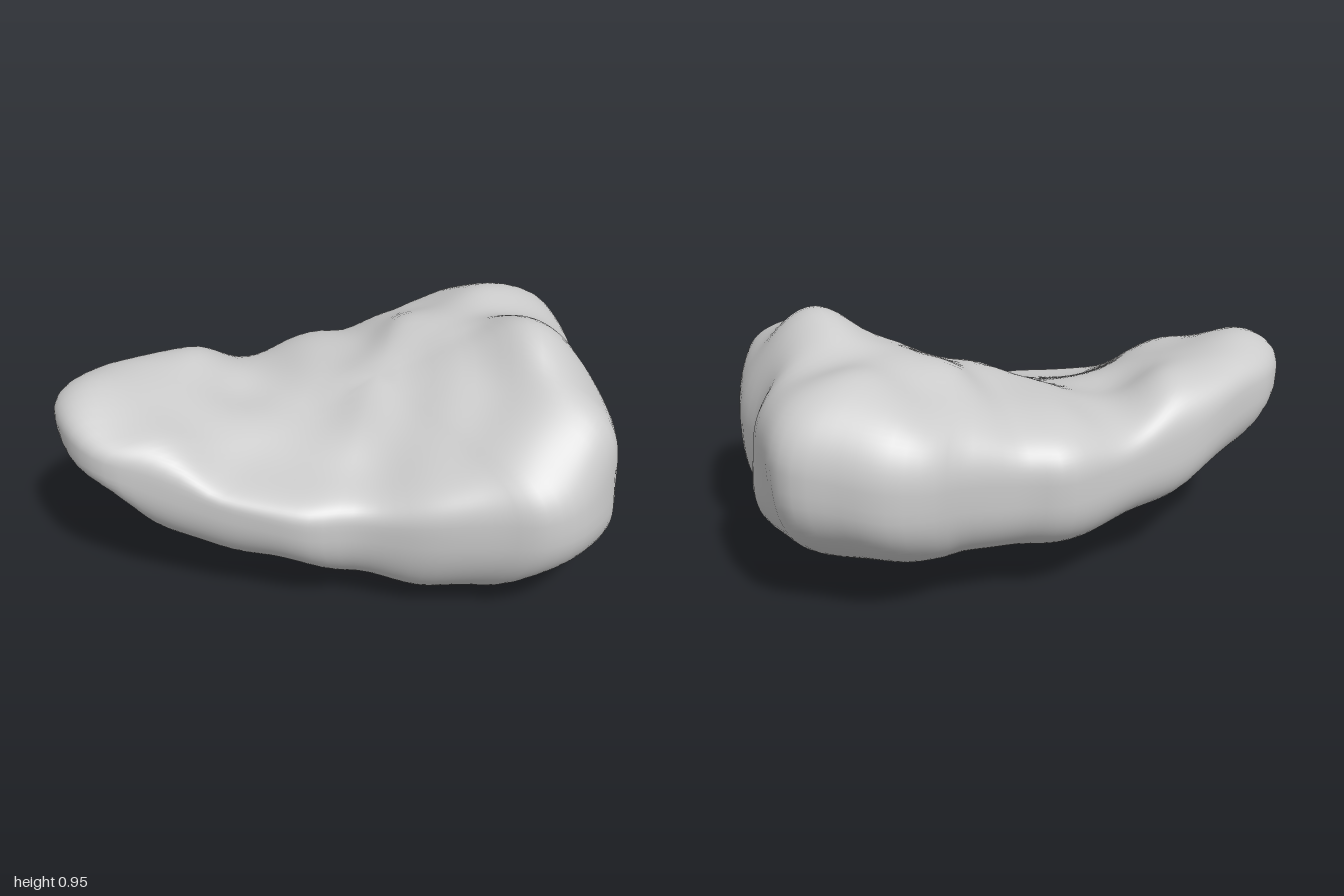
import * as THREE from 'three';
import { mergeVertices } from 'three/addons/utils/BufferGeometryUtils.js';

// Plan outline of the boulder, [x, z], clockwise from above
const OUTLINE = [
  [-0.99, -0.64], [-0.91, -0.8], [-0.72, -0.89], [-0.57, -0.89], [-0.32, -0.87], [-0.1, -0.79], [0.27, -0.7],
  [0.38, -0.6], [0.61, -0.47], [0.7, -0.455], [0.82, -0.38], [0.92, -0.22], [0.995, -0.08], [0.995, 0.0],
  [0.94, 0.13], [0.87, 0.28], [0.73, 0.4], [0.63, 0.6], [0.45, 0.79], [0.36, 0.86], [0.12, 0.885],
  [-0.01, 0.83], [-0.09, 0.72], [-0.24, 0.54], [-0.41, 0.28], [-0.55, 0.18], [-0.69, -0.03], [-0.87, -0.3], [-0.98, -0.45],
];

// Height samples [x, z, y]: widest line, upper surface, underside
const RIM = [
  [-1, -0.6, 0.65], [-0.6, -0.9, 0.64], [-0.1, -0.8, 0.5], [0.3, -0.7, 0.46], [0.75, -0.45, 0.5], [1, 0, 0.55],
  [0.7, 0.45, 0.44], [0.2, 0.89, 0.45], [-0.1, 0.72, 0.42], [-0.4, 0.28, 0.39], [-0.7, -0.04, 0.45], [-0.9, -0.35, 0.56],
];
const TOP = [
  [-0.85, -0.7, 0.89], [-0.6, -0.75, 0.85], [-0.35, -0.74, 0.82], [-0.55, -0.58, 0.74], [-0.8, -0.45, 0.74],
  [-0.55, -0.38, 0.65], [-0.3, -0.38, 0.61], [-0.5, -0.1, 0.56], [-0.25, -0.05, 0.6], [-0.3, 0.2, 0.55],
  [-0.12, 0.38, 0.61], [-0.12, -0.55, 0.67], [-0.05, 0.15, 0.67], [0.05, -0.3, 0.73], [0.2, -0.5, 0.74],
  [0.5, -0.35, 0.81], [0.1, 0, 0.78], [0.02, 0.42, 0.71], [0.15, 0.35, 0.79], [0.4, -0.05, 0.87],
  [0.75, -0.2, 0.93], [0.79, 0.02, 1], [0.66, 0.13, 0.86], [0.42, 0.39, 1.08], [0.54, 0.37, 1.07],
  [0.28, 0.2, 0.87], [0.15, 0.62, 0.86], [0.4, 0.65, 0.98], [0.7, 0.35, 0.93], [0, 0.62, 0.7],
];
const BOTTOM = [
  [-0.85, -0.65, 0.38], [-0.55, -0.6, 0.2], [-0.6, -0.2, 0.11], [-0.3, -0.3, 0.07], [-0.3, -0.6, 0.16],
  [0, 0.1, 0.03], [0, -0.4, 0.12], [0.1, 0.45, -0.04], [0.15, 0.7, 0.06], [0.4, 0.5, 0],
  [0.5, 0, 0.06], [0.7, 0.2, 0.06], [0.4, -0.4, 0.15], [0.8, -0.2, 0.16],
];

// Smooth blend of scattered height samples
function blend(samples, x, z, sigma) {
  let sum = 0, total = 0;
  for (const [sx, sz, y] of samples) {
    const w = Math.exp(-((x - sx) ** 2 + (z - sz) ** 2) / (2 * sigma * sigma)) + 1e-9;
    sum += w * y;
    total += w;
  }
  return sum / total;
}

// Gentle lumps over the whole surface
const lumps = (x, y, z) =>
  0.007 * (Math.sin(11 * x + 4 * z) * Math.sin(12 * z - 3 * y) + Math.sin(13 * y + 6 * x - 5 * z));

function boulderGeometry() {
  const around = 108, rings = 56, cx = 0.04, cz = -0.04;
  const curve = new THREE.CatmullRomCurve3(
    OUTLINE.map(([x, z]) => new THREE.Vector3(x, 0, z)), true, 'centripetal');
  const edge = curve.getSpacedPoints(around);
  const positions = [], index = [];

  // Rings run from the top centre, over the rim, to the bottom centre
  for (let j = 0; j <= rings; j++) {
    const phi = (j / rings) * Math.PI;
    const rho = j === 0 || j === rings ? 0 : Math.sin(phi) ** 0.8;
    const upper = j <= rings / 2;
    const rise = Math.abs(Math.cos(phi)) ** (upper ? 0.65 : 0.75);
    for (let i = 0; i < around; i++) {
      const x = cx + (edge[i].x - cx) * rho;
      const z = cz + (edge[i].z - cz) * rho;
      const rim = blend(RIM, edge[i].x, edge[i].z, 0.2);
      const height = upper ? blend(TOP, x, z, 0.12) : blend(BOTTOM, x, z, 0.17);
      const y = rim + (height - rim) * rise;
      const d = lumps(x, y, z);
      positions.push(x + d * rho * (x - cx), y + (upper ? d : -d) * rise, z + d * rho * (z - cz));
    }
  }
  for (let j = 0; j < rings; j++) {
    for (let i = 0; i < around; i++) {
      const n = (i + 1) % around;
      const a = j * around + i, b = j * around + n;
      const c = b + around, d = a + around;
      if (j < rings - 1) index.push(a, c, d);
      if (j > 0) index.push(a, b, c);
    }
  }

  let geometry = new THREE.BufferGeometry();
  geometry.setAttribute('position', new THREE.Float32BufferAttribute(positions, 3));
  geometry.setIndex(index);
  geometry = mergeVertices(geometry, 1e-5);

  // Stand on the ground
  geometry.computeBoundingBox();
  geometry.translate(0, -geometry.boundingBox.min.y, 0);
  geometry.computeVertexNormals();
  return geometry;
}

export function createModel() {
  const group = new THREE.Group();
  group.name = 'rock';
  const boulder = new THREE.Mesh(boulderGeometry(), new THREE.MeshStandardMaterial({ color: 0xcccccc }));
  boulder.name = 'boulder';
  group.add(boulder);
  return group;
}
